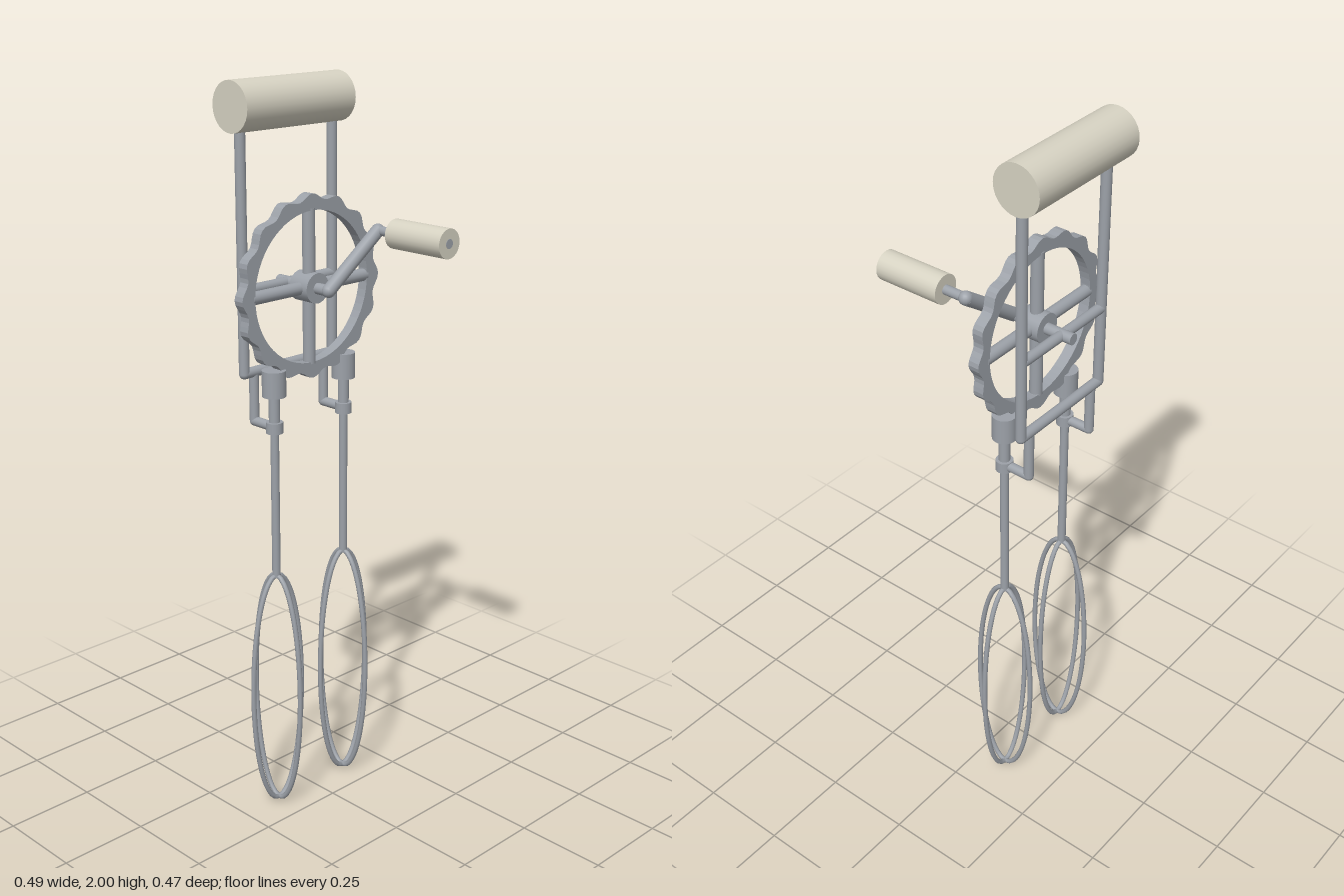
import * as THREE from 'three';

const metal = new THREE.MeshStandardMaterial({ color: 0x9ca1a8 });
metal.name = 'steel';
const cream = new THREE.MeshStandardMaterial({ color: 0xd6d2c2 });
cream.name = 'cream grip';

const HUB_Y = 1.47, WHEEL_Z = -0.088, FRAME_Z = -0.166, BEATER_X = 0.127;

export function createModel() {
  const model = new THREE.Group();
  model.name = 'handCrankWhisk';

  const add = (name, geometry, material = metal) => {
    const mesh = new THREE.Mesh(geometry, material);
    mesh.name = name;
    model.add(mesh);
    return mesh;
  };

  // Straight round bar between two points
  const rod = (name, a, b, radius, material = metal, sides = 20) => {
    const start = new THREE.Vector3(...a), end = new THREE.Vector3(...b);
    const dir = end.clone().sub(start);
    const mesh = add(name, new THREE.CylinderGeometry(radius, radius, dir.length(), sides), material);
    mesh.position.copy(start).add(end).multiplyScalar(0.5);
    mesh.quaternion.setFromUnitVectors(new THREE.Vector3(0, 1, 0), dir.normalize());
    return mesh;
  };

  // Rounded elbow where bars meet
  const joint = (name, p, radius) => {
    add(name, new THREE.SphereGeometry(radius, 16, 12)).position.set(...p);
  };

  // Top handle
  rod('topHandle', [-0.187, 1.935, -0.17], [0.187, 1.935, -0.17], 0.065, cream, 28);

  // Frame: uprights and two crossbars
  for (const s of [-1, 1]) {
    rod('frameUpright', [s * 0.16, 1.25, FRAME_Z], [s * 0.16, 1.9, FRAME_Z], 0.014);
    joint('frameCorner', [s * 0.16, 1.25, FRAME_Z], 0.014);
  }
  for (const y of [1.25, HUB_Y]) {
    rod('frameCrossbar', [-0.16, y, FRAME_Z], [0.16, y, FRAME_Z], 0.014);
  }

  // Scalloped drive wheel
  const rim = new THREE.Shape();
  const steps = 128, teeth = 16;
  for (let i = 0; i < steps; i++) {
    const a = (i / steps) * Math.PI * 2;
    const r = 0.235 + 0.008 * Math.cos(a * teeth);
    rim[i ? 'lineTo' : 'moveTo'](r * Math.cos(a), r * Math.sin(a));
  }
  rim.closePath();
  const opening = new THREE.Path();
  opening.absarc(0, 0, 0.2, 0, Math.PI * 2, true);
  rim.holes.push(opening);
  const wheel = add('driveWheelRim', new THREE.ExtrudeGeometry(rim, {
    depth: 0.03, bevelEnabled: false, curveSegments: 32,
  }));
  wheel.position.set(0, HUB_Y, WHEEL_Z - 0.015);

  // Spokes and hub
  rod('wheelSpoke', [-0.205, HUB_Y, WHEEL_Z], [0.205, HUB_Y, WHEEL_Z], 0.017);
  rod('wheelSpoke', [0, HUB_Y - 0.205, WHEEL_Z], [0, HUB_Y + 0.205, WHEEL_Z], 0.017);
  rod('wheelHub', [0, HUB_Y, -0.12], [0, HUB_Y, -0.055], 0.04, metal, 24);

  // Crank: axle, arm, pin and grip
  const CRANK_Z = -0.015, PIN = [0.18, 1.602];
  rod('axle', [0, HUB_Y, -0.2], [0, HUB_Y, CRANK_Z], 0.015);
  rod('crankArm', [0, HUB_Y, CRANK_Z], [...PIN, CRANK_Z], 0.018);
  joint('crankElbow', [0, HUB_Y, CRANK_Z], 0.018);
  joint('crankElbow', [...PIN, CRANK_Z], 0.018);
  rod('crankPin', [...PIN, CRANK_Z], [...PIN, 0.234], 0.0125);
  rod('crankGrip', [...PIN, 0.047], [...PIN, 0.233], 0.039, cream, 24);

  // Closed ellipse used for the whisk wires
  const loopPoints = [];
  for (let i = 0; i < 48; i++) {
    const a = (i / 48) * Math.PI * 2;
    loopPoints.push(new THREE.Vector3(0.09 * Math.cos(a), 0.344 * Math.sin(a), 0));
  }
  const loop = new THREE.TubeGeometry(new THREE.CatmullRomCurve3(loopPoints, true), 80, 0.007, 8, true);

  // Pair of whisks with pinions and rear brackets
  for (const s of [-1, 1]) {
    const x = s * BEATER_X;
    const upright = (name, y0, y1, r) => rod(name, [x, y0, WHEEL_Z], [x, y1, WHEEL_Z], r);
    upright('whiskShaft', 0.69, 1.13, 0.0115);
    upright('pinionShaft', 1.12, 1.21, 0.015);
    upright('pinion', 1.2, 1.27, 0.032);
    upright('shaftCollar', 1.1, 1.13, 0.023);

    rod('bracketArm', [x, 1.115, WHEEL_Z], [x, 1.115, FRAME_Z], 0.013);
    rod('bracketUpright', [x, 1.115, FRAME_Z], [x, 1.25, FRAME_Z], 0.013);
    joint('bracketElbow', [x, 1.115, FRAME_Z], 0.013);

    for (const turn of [0, Math.PI / 2]) {
      const wire = add('whiskLoop', loop);
      wire.position.set(x, 0.351, WHEEL_Z);
      wire.rotation.y = turn;
    }
  }

  return model;
}
